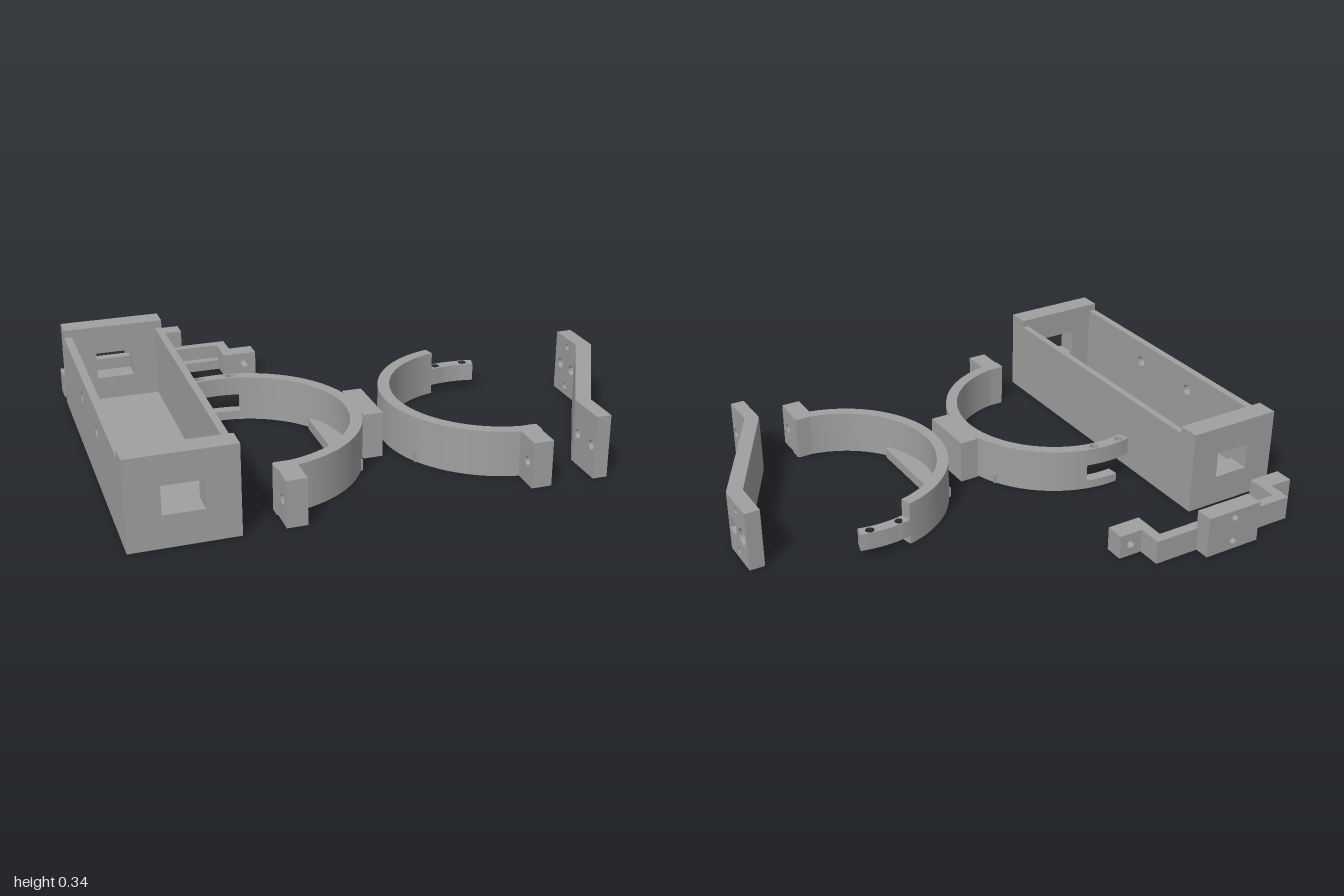
import * as THREE from 'three';
import { toCreasedNormals } from 'three/addons/utils/BufferGeometryUtils.js';

export function createModel() {
  const model = new THREE.Group();
  const grey = new THREE.MeshStandardMaterial({ color: 0xa0a0a0 });
  grey.name = 'plain grey';
  const V = (x, y) => new THREE.Vector2(x, y);

  function add(parent, name, geometry) {
    const mesh = new THREE.Mesh(geometry, grey);
    mesh.name = name;
    parent.add(mesh);
    return mesh;
  }
  function group(name) {
    const g = new THREE.Group();
    g.name = name;
    model.add(g);
    return g;
  }
  function box(parent, name, x0, x1, y0, y1, z0, z1) {
    const g = new THREE.BoxGeometry(x1 - x0, y1 - y0, z1 - z0);
    g.translate((x0 + x1) / 2, (y0 + y1) / 2, (z0 + z1) / 2);
    return add(parent, name, g);
  }
  // Extrusion with round holes [u, v, radius] or rectangular ones [u0, u1, v0, v1]
  function extrude(points, depth, holes = []) {
    const shape = new THREE.Shape(points);
    for (const h of holes) {
      if (h.length === 3) {
        shape.holes.push(new THREE.Path().absarc(h[0], h[1], h[2], 0, Math.PI * 2, true));
      } else {
        shape.holes.push(new THREE.Path([V(h[0], h[2]), V(h[0], h[3]), V(h[1], h[3]), V(h[1], h[2])]));
      }
    }
    const g = new THREE.ExtrudeGeometry(shape, { depth, bevelEnabled: false, curveSegments: 24 });
    return toCreasedNormals(g, 0.5);
  }
  const rect = (a0, a1, b0, b1) => [V(a0, b0), V(a1, b0), V(a1, b1), V(a0, b1)];

  // Plan outline [x, z] raised from y0 to y1
  function prism(parent, name, points, y0, y1, holes = []) {
    const g = extrude(points.map(([x, z]) => V(x, -z)), y1 - y0, holes.map(([x, z, r]) => [x, -z, r]));
    g.rotateX(-Math.PI / 2).translate(0, y0, 0);
    return add(parent, name, g);
  }
  // Plate with holes [z, y, r] bored along x
  function plateX(parent, name, x0, x1, y0, y1, z0, z1, holes) {
    const g = extrude(rect(-z1, -z0, y0, y1), x1 - x0, holes.map(([z, y, r]) => [-z, y, r]));
    g.rotateY(Math.PI / 2).translate(x0, 0, 0);
    return add(parent, name, g);
  }
  // Plate with holes bored along z
  function plateZ(parent, name, x0, x1, y0, y1, z0, z1, holes) {
    const g = extrude(rect(x0, x1, y0, y1), z1 - z0, holes);
    g.translate(0, 0, z0);
    return add(parent, name, g);
  }

  // Long open tray with raised, windowed ends
  const tray = group('tray');
  const windowHole = [[-0.88, -0.735, 0.12, 0.225]];
  plateZ(tray, 'frontEnd', -1, -0.615, 0, 0.335, 0.705, 0.79, windowHole);
  plateZ(tray, 'backEnd', -1, -0.615, 0, 0.335, -0.515, -0.43, windowHole);
  plateX(tray, 'outerWall', -1, -0.97, 0, 0.305, -0.43, 0.705, [[0.3, 0.22, 0.022], [-0.02, 0.22, 0.022]]);
  box(tray, 'innerWall', -0.642, -0.615, 0, 0.305, -0.43, 0.705);
  box(tray, 'floor', -0.97, -0.642, 0, 0.03, -0.43, 0.705);

  // Half-ring clamps; s = 1 bulges toward +x, s = -1 toward -x
  const ringZ = 0.255, outer = 0.435, inner = 0.39, H = 0.175;
  const deg = Math.PI / 180;
  function sector(parent, name, cx, s, a0, a1, y0, y1, holes) {
    const pts = [];
    const n = Math.max(4, Math.ceil((a1 - a0) / 3));
    for (const [r, from, to] of [[outer, a0, a1], [inner, a1, a0]]) {
      for (let i = 0; i <= n; i++) {
        const a = (from + (to - from) * i / n) * deg;
        pts.push([cx + s * r * Math.cos(a), ringZ - r * Math.sin(a)]);
      }
    }
    return prism(parent, name, pts, y0, y1, holes);
  }
  function clamp(name, cx, s) {
    const g = group(name);
    const span = (u0, u1) => [cx + s * u0, cx + s * u1].sort((a, b) => a - b);
    sector(g, 'halfRing', cx, s, -90, 77, 0, H);
    plateX(g, 'boltTab', ...span(0.005, 0.08), 0, H, 0.64, 0.79, [[0.745, 0.088, 0.018]]);
    box(g, 'footPlate', ...span(0.315, 0.392), 0, 0.04, 0.05, 0.46);
    return g;
  }
  const pinHoles = (cx) => [[cx - 0.06, -0.155, 0.017], [cx + 0.06, -0.155, 0.017]];

  const forkClamp = clamp('forkClamp', -0.47, 1);
  sector(forkClamp, 'upperProng', -0.47, 1, 77, 102.5, 0.105, H, pinHoles(-0.47));
  sector(forkClamp, 'lowerProng', -0.47, 1, 77, 95, 0, 0.035);
  box(forkClamp, 'hub', -0.045, 0.03, 0, H, 0.13, 0.37);

  const tongueClamp = clamp('tongueClamp', 0.515, -1);
  sector(tongueClamp, 'tongue', 0.515, -1, 77, 104, 0.035, 0.105, pinHoles(0.515));

  // Cranked arm with drilled ends
  const arm = group('arm');
  prism(arm, 'slopedWeb', [[0.94, 0.13], [1, 0.13], [1, 0.145], [0.73, 0.64], [0.675, 0.64], [0.675, 0.625]], 0, 0.24);
  plateX(arm, 'frontPad', 0.675, 0.73, 0, 0.24, 0.64, 0.79, [[0.76, 0.12, 0.018], [0.66, 0.12, 0.018]]);
  for (const [x0, x1, r] of [[0.94, 0.97, 0.02], [0.97, 1, 0.033]]) {
    plateX(arm, 'backPad', x0, x1, 0, 0.24, -0.03, 0.14,
      [[0.105, 0.12, r], [0.015, 0.12, r], [0.06, 0.205, 0.013], [0.06, 0.035, 0.013]]);
  }

  // Stepped strap with bolt lugs and a raised pad
  const strap = group('strap');
  box(strap, 'bar', -0.905, -0.29, 0, 0.095, -0.74, -0.7);
  box(strap, 'ledge', -0.865, -0.325, 0, 0.04, -0.7, -0.665);
  plateZ(strap, 'pad', -0.71, -0.475, 0, 0.165, -0.8, -0.73, [[-0.595, 0.135, 0.014], [-0.595, 0.035, 0.014]]);
  for (const s of [-1, 1]) {
    const mid = -0.5975;
    const span = (u0, u1) => [mid + s * u0, mid + s * u1].sort((a, b) => a - b);
    box(strap, 'riser', ...span(0.268, 0.308), 0, 0.095, -0.7, -0.645);
    plateZ(strap, 'lug', ...span(0.268, 0.403), 0, 0.095, -0.645, -0.57, [[mid + s * 0.355, 0.048, 0.016]]);
  }
  return model;
}
